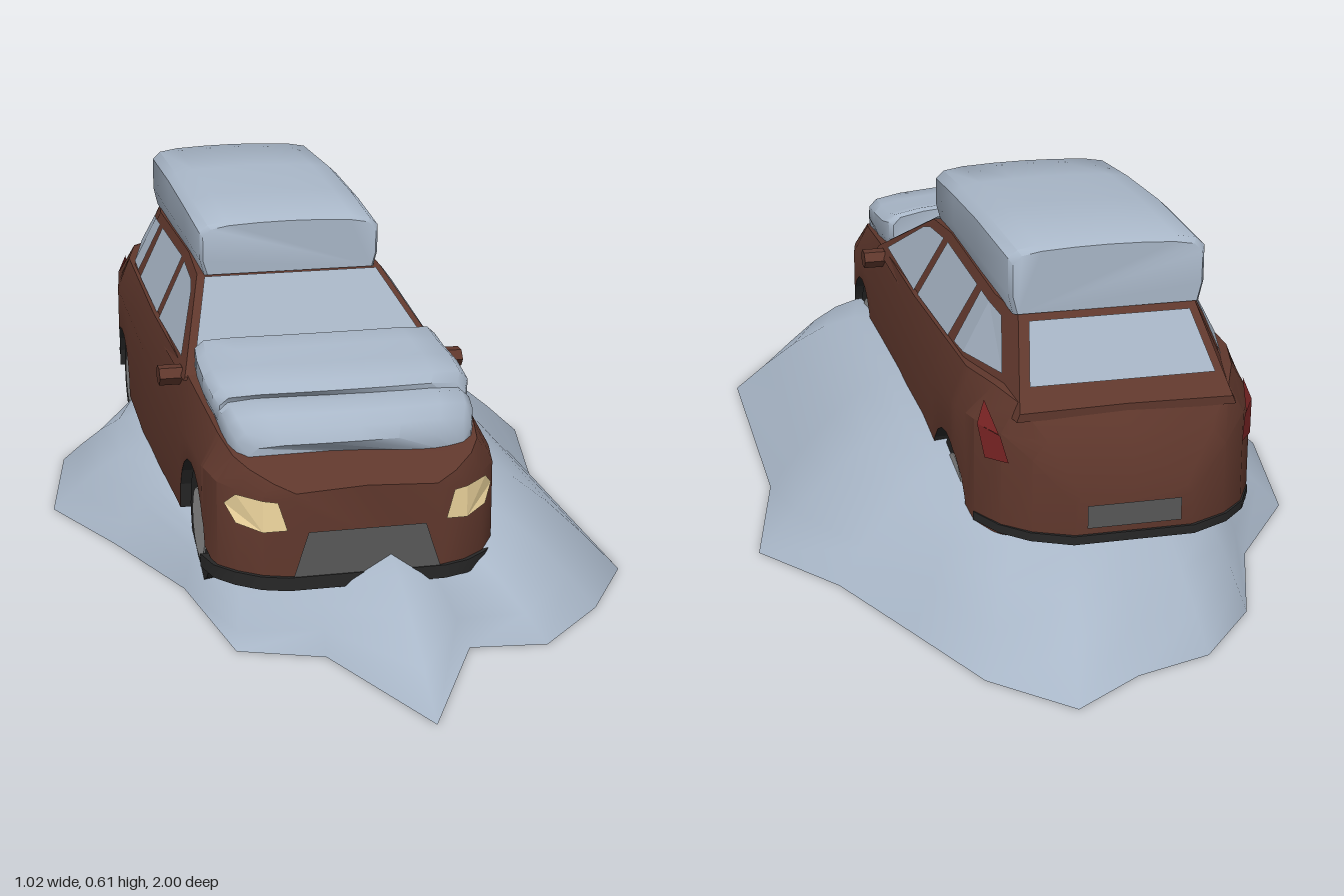
import * as THREE from 'three';
import { toCreasedNormals } from 'three/addons/utils/BufferGeometryUtils.js';

const mat = (color) => new THREE.MeshStandardMaterial({ color, side: THREE.DoubleSide });
const snow = mat(0xa9b7c8), glass = mat(0xa3b0c0), paint = mat(0x5f372c), black = mat(0x272727);
const dark = mat(0x585858), hubGrey = mat(0x9a9a9a), lamp = mat(0xf2d9a0), red = mat(0x7a2424);

function mesh(name, geo, material) {
  const m = new THREE.Mesh(geo, material);
  m.name = name;
  return m;
}

// Skin over mirrored half-sections; each station is { z, p: [[x, y], ...] }, front to rear.
// bow sweeps the sides backwards.
function loft(stations, { open = false, caps = true, crease = 0.5, bow = 0 } = {}) {
  const rings = stations.map(({ z, p }) => [
    ...p, ...p.filter(([x]) => x > 0).reverse().map(([x, y]) => [-x, y]),
  ].map(([x, y]) => [x, y, z - bow * x * x]));
  const n = rings[0].length, v = [];
  for (let i = 0; i < rings.length - 1; i++) {
    for (let j = 0; j < (open ? n - 1 : n); j++) {
      const k = (j + 1) % n, A = rings[i], B = rings[i + 1];
      v.push(...A[j], ...B[j], ...B[k], ...A[j], ...B[k], ...A[k]);
    }
  }
  if (caps) {
    const F = rings[0], R = rings.at(-1);
    for (let j = 1; j < n - 1; j++) v.push(...F[0], ...F[j], ...F[j + 1], ...R[0], ...R[j + 1], ...R[j]);
  }
  const g = new THREE.BufferGeometry();
  g.setAttribute('position', new THREE.Float32BufferAttribute(v, 3));
  return toCreasedNormals(g, crease);
}

// Flat panel from an outline of 3D corners, optionally mirrored to the other side
function panel(pts, flip = 1) {
  const v = [];
  for (let i = 1; i < pts.length - 1; i++) {
    const tri = [pts[0], pts[i], pts[i + 1]];
    if (flip < 0) tri.reverse();
    tri.forEach(([x, y, z]) => v.push(x * flip, y, z));
  }
  const g = new THREE.BufferGeometry();
  g.setAttribute('position', new THREE.Float32BufferAttribute(v, 3));
  g.computeVertexNormals();
  return g;
}

// Body stations: z, half width, bottom y, waist y, top half width, top y
const BODY = [
  [0.65, 0.13, 0.10, 0.25, 0.12, 0.262], [0.635, 0.172, 0.10, 0.255, 0.155, 0.277],
  [0.605, 0.21, 0.10, 0.26, 0.19, 0.295], [0.57, 0.238, 0.105, 0.265, 0.21, 0.308],
  [0.5, 0.252, 0.112, 0.27, 0.222, 0.325], [0.25, 0.255, 0.12, 0.28, 0.235, 0.36],
  [-0.1, 0.26, 0.12, 0.30, 0.24, 0.375], [-0.5, 0.255, 0.13, 0.32, 0.23, 0.385],
  [-0.6, 0.24, 0.138, 0.33, 0.205, 0.388], [-0.66, 0.208, 0.145, 0.325, 0.18, 0.378],
  [-0.70, 0.165, 0.15, 0.29, 0.14, 0.32], [-0.73, 0.1, 0.155, 0.22, 0.09, 0.235],
];
const WHEELS = [[0.4, 0.13], [-0.45, 0.135]], ARCH = 0.112;

function bodyAt(z) {
  const i = Math.min(BODY.length - 2, Math.max(0, BODY.findIndex((s) => s[0] <= z) - 1));
  const t = (z - BODY[i][0]) / (BODY[i + 1][0] - BODY[i][0]);
  return BODY[i].map((a, k) => a + (BODY[i + 1][k] - a) * t);
}

function addBody(car) {
  const zs = BODY.map((s) => s[0]);
  for (const [zc] of WHEELS)
    for (let k = 0; k <= 10; k++) zs.push(+(zc + ARCH * Math.cos((k / 10) * Math.PI)).toFixed(4));
  const rows = [...new Set(zs)].sort((a, b) => b - a).map((z) => {
    const [, w, yb, ym, wt, yt] = bodyAt(z);
    let arch = yb;
    for (const [zc, yc] of WHEELS)
      if (Math.abs(z - zc) < ARCH) arch = Math.max(arch, yc + Math.sqrt(ARCH ** 2 - (z - zc) ** 2));
    return { z, w, yb, ym, wt, yt, arch };
  });
  car.add(mesh('bodyShell', loft(rows.map((r) => ({
    z: r.z, p: [[r.w, r.arch], [r.w, r.ym], [r.wt, r.yt], [0, r.yt + 0.006]],
  })), { open: true }), paint));
  car.add(mesh('underbody', loft(rows.map((r) => ({
    z: r.z, p: [[r.w, r.arch], [r.w * 0.6, r.arch], [r.w * 0.6, r.yb], [0, r.yb]],
  })), { open: true, caps: false, crease: 0.2 }), black));
  // Bumper lips
  const lip = (y0, y1, ends) => loft(ends.map(([z, w]) => ({ z, p: [[w, y0], [w, y1], [0, y1]] })));
  car.add(mesh('frontLip', lip(0.095, 0.118, [[0.656, 0.134], [0.641, 0.177], [0.609, 0.216], [0.57, 0.245], [0.515, 0.258]]), black));
  car.add(mesh('rearLip', lip(0.148, 0.163, [[-0.6, 0.242], [-0.66, 0.212], [-0.703, 0.169], [-0.735, 0.103]]), black));
}

// Cabin half width at a given z and height
const cabinX = (z, y) => (0.235 - (y - 0.365) * 0.52) * (1 - Math.max(0, -0.45 - z));

function addCabin(car) {
  const cols = [[0.27, 0.35, 0.356], [0.03, 0.35, 0.48], [-0.1, 0.36, 0.492],
    [-0.45, 0.36, 0.492], [-0.55, 0.36, 0.49], [-0.68, 0.35, 0.364]];
  car.add(mesh('cabin', loft(cols.map(([z, a, b]) => ({
    z, p: [[cabinX(z, a), a], [cabinX(z, b), b], [0, b + 0.003]],
  })), { crease: 0.2 }), paint));
  // Side windows as (z, y) outlines
  const windows = [
    [[0.2, 0.374], [0.055, 0.458], [0.02, 0.469], [-0.085, 0.478], [-0.065, 0.374]],
    [[-0.095, 0.376], [-0.115, 0.48], [-0.36, 0.48], [-0.345, 0.384]],
    [[-0.385, 0.388], [-0.39, 0.48], [-0.45, 0.48], [-0.45, 0.392]],
    [[-0.45, 0.392], [-0.45, 0.48], [-0.51, 0.474], [-0.59, 0.402]],
  ];
  for (const s of [1, -1])
    for (const w of windows)
      car.add(mesh('sideWindow', panel(w.map(([z, y]) => [cabinX(z, y) + 0.004, y, z]).reverse(), s), glass));
  const screen = (za, ya, zb, yb, inset, dz) => {
    const a = cabinX(za, ya) - inset, b = cabinX(zb, yb) - inset;
    return panel([[-a, ya + 0.006, za + dz], [a, ya + 0.006, za + dz], [b, yb + 0.006, zb + dz], [-b, yb + 0.006, zb + dz]]);
  };
  car.add(mesh('windshield', screen(0.255, 0.364, 0.045, 0.473, 0.015, 0.002), glass));
  car.add(mesh('rearWindow', screen(-0.65, 0.393, -0.565, 0.476, 0.018, -0.003), glass));
}

function addDetails(car) {
  car.add(mesh('grille', panel([[-0.125, 0.118, 0.654], [0.125, 0.118, 0.654], [0.1, 0.195, 0.654], [-0.1, 0.195, 0.654]]), dark));
  car.add(mesh('plateRecess', panel([[0.08, 0.175, -0.734], [-0.08, 0.175, -0.734], [-0.08, 0.215, -0.734], [0.08, 0.215, -0.734]]), dark));
  for (const s of [1, -1]) {
    car.add(mesh('headlight', panel([[0.135, 0.2, 0.653], [0.174, 0.195, 0.64], [0.174, 0.25, 0.64], [0.15, 0.248, 0.648]], s), lamp));
    car.add(mesh('headlightCorner', panel([[0.174, 0.195, 0.64], [0.214, 0.205, 0.61], [0.23, 0.235, 0.59], [0.214, 0.255, 0.61], [0.174, 0.25, 0.64]], s), lamp));
    car.add(mesh('tailLight', panel([[0.23, 0.275, -0.635], [0.2, 0.28, -0.68], [0.21, 0.322, -0.662], [0.238, 0.328, -0.615]], s), red));
    car.add(mesh('tailLightTop', panel([[0.238, 0.328, -0.615], [0.212, 0.324, -0.662], [0.224, 0.365, -0.605]], s), red));
    // Mirrors
    const mirror = mesh('mirror', toCreasedNormals(new THREE.CylinderGeometry(0.018, 0.018, 0.042, 6), 0.3), paint);
    mirror.rotation.z = -s * Math.PI / 2;
    mirror.scale.z = 1.3;
    mirror.position.set(s * 0.259, 0.347, 0.22);
    car.add(mirror);
    // Wheels
    for (const [z, y] of WHEELS) {
      const wheel = new THREE.Group();
      wheel.name = 'wheel';
      wheel.add(mesh('tyre', new THREE.CylinderGeometry(0.1, 0.1, 0.07, 20), black));
      wheel.add(mesh('hub', new THREE.CylinderGeometry(0.062, 0.066, 0.076, 16), hubGrey));
      wheel.rotation.z = Math.PI / 2;
      wheel.position.set(s * 0.203, y, z);
      car.add(wheel);
    }
  }
}

// Rounded snow slab rows: z, half width, bottom y, top y
function snowSlab(rows, bow) {
  return loft(rows.map(([z, w, a, b]) => ({
    z, p: [[w - 0.008, a], [w, a + (b - a) * 0.3], [w, b - 0.018], [w - 0.015, b - 0.004],
      [w * 0.7, b + 0.002], [w * 0.35, b + 0.005], [0, b + 0.006]],
  })), { crease: 0.8, bow });
}

function addCarSnow(car) {
  car.add(mesh('hoodSnowFront', snowSlab([
    [0.608, 0.185, 0.285, 0.325], [0.598, 0.202, 0.285, 0.348], [0.575, 0.212, 0.29, 0.367],
    [0.54, 0.216, 0.295, 0.377], [0.44, 0.216, 0.32, 0.37]], 0.9), snow));
  car.add(mesh('hoodSnowBack', snowSlab([
    [0.51, 0.215, 0.335, 0.384], [0.495, 0.224, 0.335, 0.398], [0.42, 0.227, 0.34, 0.408],
    [0.34, 0.224, 0.345, 0.414], [0.295, 0.22, 0.35, 0.424], [0.283, 0.212, 0.355, 0.42]], 0.7), snow));
  car.add(mesh('roofSnow', snowSlab([
    [0.04, 0.165, 0.48, 0.57], [0.032, 0.17, 0.478, 0.577], [-0.13, 0.172, 0.485, 0.592],
    [-0.32, 0.172, 0.487, 0.603], [-0.545, 0.169, 0.488, 0.603], [-0.555, 0.163, 0.49, 0.595]], 0), snow));
}

// Snow mound: jagged rim on the ground rising to a ring hidden within the car
function mound() {
  // rim x, rim z, inner x, inner z, inner height
  const R = [
    [0.1, -1, 0, -0.55, 0.165], [0.22, -0.88, 0.07, -0.56, 0.17], [0.3, -0.7, 0.13, -0.5, 0.18],
    [0.39, -0.5, 0.15, -0.4, 0.19], [0.508, -0.34, 0.16, -0.25, 0.21], [0.45, -0.06, 0.16, -0.04, 0.215],
    [0.45, 0.46, 0.16, 0.3, 0.195], [0.35, 0.62, 0.14, 0.48, 0.17], [0.22, 0.75, 0.09, 0.54, 0.13],
    [0.09, 0.735, 0.03, 0.55, 0.12], [-0.04, 1, -0.02, 0.53, 0.16], [-0.15, 0.72, -0.13, 0.54, 0.11],
    [-0.29, 0.665, -0.24, 0.48, 0.06], [-0.33, 0.38, -0.28, 0.3, 0.1], [-0.42, 0.14, -0.29, 0.1, 0.125],
    [-0.512, -0.07, -0.29, -0.06, 0.13], [-0.46, -0.36, -0.28, -0.25, 0.125], [-0.33, -0.54, -0.27, -0.42, 0.12],
    [-0.26, -0.75, -0.22, -0.52, 0.135], [-0.15, -0.88, -0.13, -0.55, 0.155], [-0.02, -0.92, -0.06, -0.56, 0.165],
  ];
  const steps = 5, n = R.length, v = [], idx = [];
  for (let k = 0; k <= steps; k++) {
    const t = k / steps;
    for (const [x, z, ix, iz, h] of R)
      v.push(x + (ix - x) * t, h * Math.sin(t * Math.PI / 2), z + (iz - z) * t);
  }
  for (let k = 0; k < steps; k++)
    for (let j = 0; j < n; j++) {
      const a = k * n + j, b = k * n + (j + 1) % n;
      idx.push(a, a + n, b, b, a + n, b + n);
    }
  const g = new THREE.BufferGeometry();
  g.setAttribute('position', new THREE.Float32BufferAttribute(v, 3));
  g.setIndex(idx);
  g.computeVertexNormals();
  return g;
}

export function createModel() {
  const model = new THREE.Group();
  model.name = 'snowedInCar';
  const car = new THREE.Group();
  car.name = 'car';
  car.position.x = -0.065;
  addBody(car);
  addCabin(car);
  addDetails(car);
  addCarSnow(car);
  model.add(car, mesh('snowMound', mound(), snow));
  return model;
}
